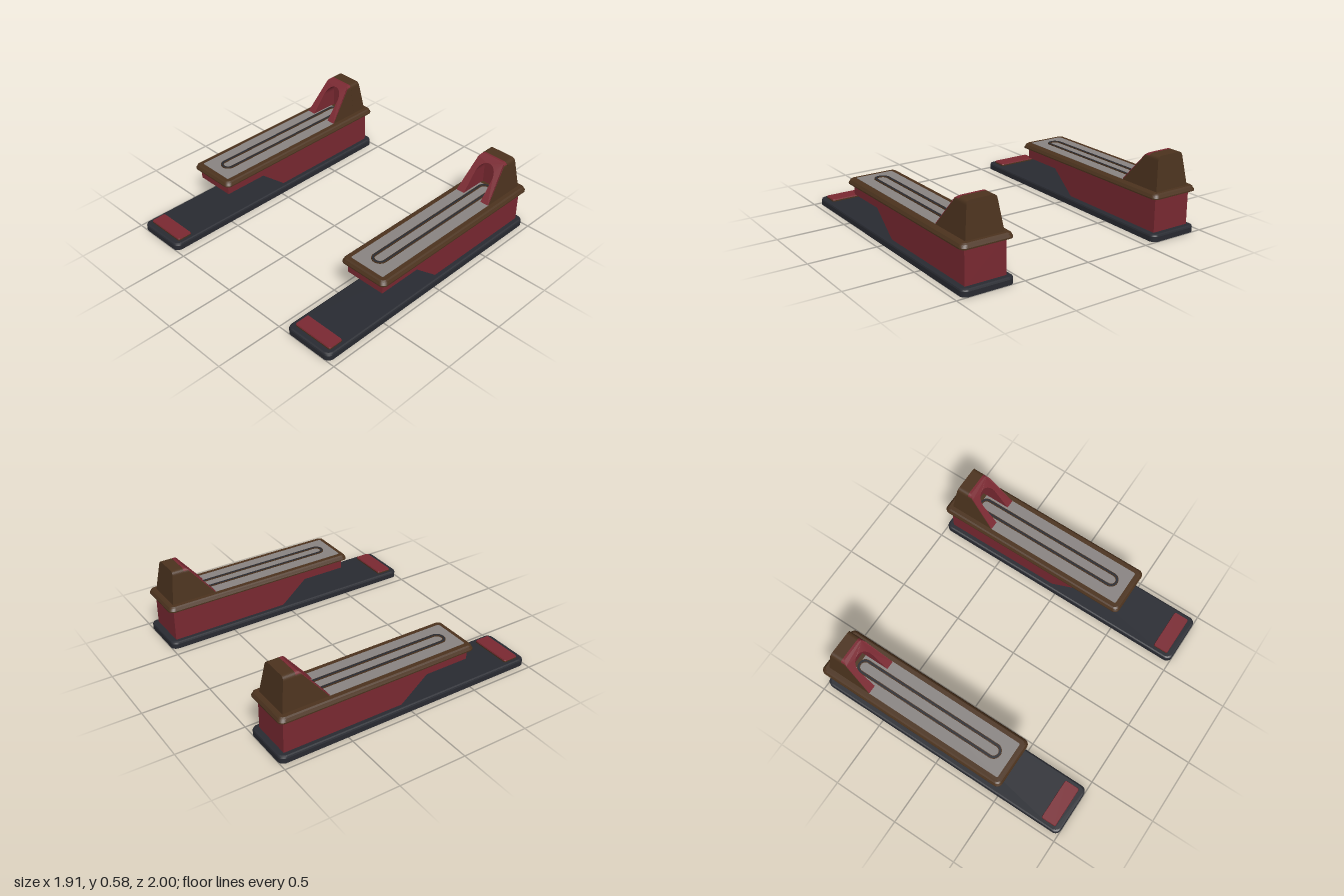
import * as THREE from 'three';

const mat = (name, color) => {
  const m = new THREE.MeshStandardMaterial({ color });
  m.name = name;
  return m;
};
const red = mat('darkRed', 0x7b2932);
const brown = mat('brown', 0x4c331e);
const slate = mat('slate', 0x292b32);
const grey = mat('warmGrey', 0x8a8583);

const mesh = (name, geometry, material) => {
  const m = new THREE.Mesh(geometry, material);
  m.name = name;
  return m;
};

// rounded rectangle outline, half sizes w and l, corner radius r
function roundRect(w, l, r, Type = THREE.Shape) {
  const s = new Type();
  s.moveTo(w, -l + r);
  s.lineTo(w, l - r);
  s.absarc(w - r, l - r, r, 0, Math.PI / 2);
  s.absarc(-w + r, l - r, r, Math.PI / 2, Math.PI);
  s.absarc(-w + r, -l + r, r, Math.PI, Math.PI * 1.5);
  s.absarc(w - r, -l + r, r, Math.PI * 1.5, Math.PI * 2);
  return s;
}

// horizontal slab from y0 to y1, its top drawn in by taper; hole = width of an open border
function slab(w, l, r, y0, y1, zc, taper = 0, hole = 0) {
  const shape = roundRect(w, l, r);
  if (hole) shape.holes.push(roundRect(w - hole, l - hole, r - hole, THREE.Path));
  const g = new THREE.ExtrudeGeometry(shape, { depth: y1 - y0, bevelEnabled: false, curveSegments: 8 });
  g.rotateX(-Math.PI / 2);
  const p = g.attributes.position;
  for (let i = 0; i < p.count; i++) {
    if (p.getY(i) < (y1 - y0) / 2) continue;
    p.setX(i, p.getX(i) * (1 - taper / w));
    p.setZ(i, p.getZ(i) * (1 - taper / l));
  }
  g.translate(0, y0, zc);
  g.computeVertexNormals();
  return g;
}

// stack of slabs following a softened edge given as [height, inset] steps
function softSlab(name, w, l, r, zc, steps, material) {
  const group = new THREE.Group();
  group.name = name;
  for (let i = 1; i < steps.length; i++) {
    const [y0, a] = steps[i - 1], [y1, b] = steps[i];
    group.add(mesh(name + 'Layer', slab(w - a, l - a, r - a, y0, y1, zc, b - a), material));
  }
  return group;
}

// hood cross-section: tapered outline with round shoulders, optional arched notch of half width n
function hoodShape(inset, top, n) {
  const y0 = 0.336, b = 0.141 - inset, t = 0.107 - inset;
  const s = new THREE.Shape();
  s.moveTo(b, y0);
  s.lineTo(t + 0.004, top - 0.03);
  s.quadraticCurveTo(t, top, t - 0.03, top);
  s.lineTo(-t + 0.03, top);
  s.quadraticCurveTo(-t, top, -t - 0.004, top - 0.03);
  s.lineTo(-b, y0);
  if (n) {
    s.lineTo(-n, y0);
    s.lineTo(-n, 0.47);
    s.absarc(0, 0.47, n, Math.PI, 0, true);
    s.lineTo(n, y0);
  }
  return s;
}

// extrude a section along z, with each end placed by a function of height
function hoodPart(shape, back, front) {
  const g = new THREE.ExtrudeGeometry(shape, { depth: 1, bevelEnabled: false, curveSegments: 12 });
  const p = g.attributes.position;
  for (let i = 0; i < p.count; i++) {
    const y = p.getY(i);
    p.setZ(i, p.getZ(i) > 0.5 ? front(y) : back(y));
  }
  g.computeVertexNormals();
  return g;
}

function bodyGeometry() {
  const s = new THREE.Shape([
    [-0.955, 0.045], [-0.06, 0.045], [0.145, 0.217], [0.48, 0.217], [0.48, 0.314], [-0.955, 0.314],
  ].map(([z, y]) => new THREE.Vector2(z, y)));
  const g = new THREE.ExtrudeGeometry(s, { depth: 0.304, bevelEnabled: false });
  g.rotateY(-Math.PI / 2);
  g.translate(0.152, 0, 0);
  return g;
}

function createUnit(name) {
  const unit = new THREE.Group();
  unit.name = name;

  // long base, recessed underneath, with softened top edge
  unit.add(mesh('baseRim', slab(0.192, 1, 0.045, 0, 0.028, 0, 0, 0.012), slate));
  unit.add(softSlab('base', 0.192, 1, 0.045, 0,
    [[0.028, 0], [0.036, 0], [0.046, 0.004], [0.051, 0.013]], slate));

  // front pad
  unit.add(mesh('padFoot', slab(0.157, 0.057, 0.012, 0.05, 0.06, 0.898), brown));
  unit.add(mesh('pad', slab(0.157, 0.057, 0.012, 0.06, 0.068, 0.898, 0.003), red));

  // overhanging body and its rim, which has a thin lip below
  unit.add(mesh('body', bodyGeometry(), red));
  unit.add(mesh('rimLip', slab(0.192, 0.755, 0.04, 0.302, 0.311, -0.24, 0, 0.014), brown));
  unit.add(softSlab('rim', 0.192, 0.755, 0.04, -0.24,
    [[0.311, 0], [0.33, 0.011], [0.338, 0.021]], brown));

  // top panel with its long looped track
  unit.add(mesh('topPanel', slab(0.14, 0.63, 0.012, 0.334, 0.34, -0.162), grey));
  unit.add(mesh('track', slab(0.056, 0.6, 0.056, 0.338, 0.346, -0.2, 0, 0.022), brown));
  unit.add(mesh('trackLine', slab(0.0515, 0.5955, 0.0515, 0.344, 0.348, -0.2, 0, 0.013), slate));

  // hood: solid rear, open arched front following the slope
  const wall = () => -0.83;
  const slope = (y) => -0.612 - (y - 0.34) * 0.83 - Math.max(0, y - 0.56) * 0.6;
  const rear = (y) => -0.95 + (y - 0.336) * 0.14;
  unit.add(mesh('hoodRear', hoodPart(hoodShape(0, 0.577, 0), rear, wall), brown));
  unit.add(mesh('hoodShell', hoodPart(hoodShape(0, 0.574, 0.083), wall, slope), brown));
  unit.add(mesh('hoodArch', hoodPart(hoodShape(0.002, 0.578, 0.074), wall, (y) => slope(y) + 0.008), red));

  // red wall closing the arch
  const arch = new THREE.Shape();
  arch.moveTo(0.078, 0.338);
  arch.lineTo(0.078, 0.47);
  arch.absarc(0, 0.47, 0.078, 0, Math.PI);
  arch.lineTo(-0.078, 0.338);
  unit.add(mesh('archBackWall', hoodPart(arch, wall, () => -0.822), red));
  return unit;
}

export function createModel() {
  const model = new THREE.Group();
  model.name = 'pairOfPedals';
  for (const side of [1, -1]) {
    const unit = createUnit(side > 0 ? 'leftUnit' : 'rightUnit');
    unit.position.x = side * 0.761;
    model.add(unit);
  }
  return model;
}
